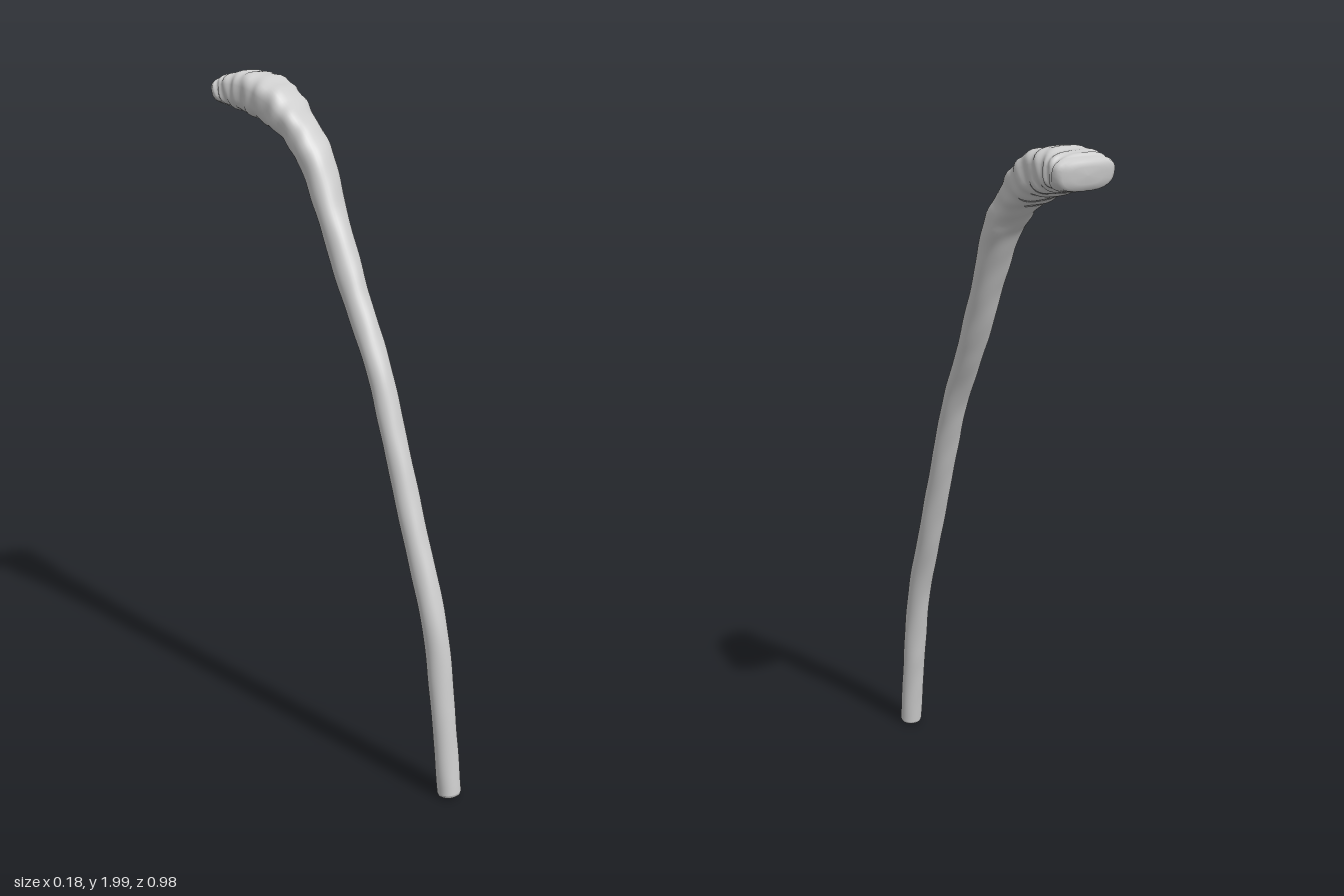
import * as THREE from 'three';

// Spine stations: [x, y, z, half width, half thickness, squareness]
const STATIONS = [
  [0, 0.012, 0.457, 0.035, 0.033, 0.1],
  [0, 0.25, 0.427, 0.037, 0.033, 0],
  [0, 0.5, 0.386, 0.037, 0.035, 0],
  [0, 0.75, 0.303, 0.038, 0.034, 0],
  [0, 1.0, 0.22, 0.038, 0.033, 0],
  [0, 1.2, 0.15, 0.039, 0.033, 0],
  [0, 1.4, 0.05, 0.041, 0.038, 0],
  [0.002, 1.6, -0.042, 0.046, 0.038, 0.1],
  [0.004, 1.76, -0.118, 0.055, 0.043, 0.3],
  [0, 1.85, -0.2, 0.061, 0.046, 0.45],
  [0.001, 1.908, -0.29, 0.077, 0.059, 0.5],
  [0, 1.933, -0.37, 0.082, 0.059, 0.5],
  [-0.003, 1.938, -0.425, 0.086, 0.049, 0.5],
  [-0.002, 1.934, -0.462, 0.088, 0.043, 0.5],
];
const SIDES = 32, RINGS = 150;

function createStaff() {
  const spine = new THREE.CatmullRomCurve3(STATIONS.map(s => new THREE.Vector3(s[0], s[1], s[2])));
  const sizes = new THREE.CatmullRomCurve3(STATIONS.map(s => new THREE.Vector3(s[3], s[4], s[5])));
  const positions = [], index = [];
  let rows = 0;

  // One cross-section, rounded at the shaft and squarer at the head
  function ring(t, scale, push) {
    const c = spine.getPoint(t), size = sizes.getPoint(t), tan = spine.getTangent(t);
    const across = new THREE.Vector3(1, 0, 0);
    const depth = new THREE.Vector3().crossVectors(tan, across).normalize();
    c.addScaledVector(tan, push);
    const power = 1 - 0.6 * Math.max(0, size.z);
    const rough = 0.02 + 0.035 * THREE.MathUtils.smoothstep(t, 0.55, 0.75);
    for (let j = 0; j < SIDES; j++) {
      const a = j / SIDES * Math.PI * 2, cx = Math.cos(a), sy = Math.sin(a);
      // Gentle carved-wood unevenness
      const bump = 1 + rough * (Math.sin(t * 83 + 2 * a) * 0.6 + Math.sin(t * 137 - 3 * a + 1) * 0.5);
      const u = Math.sign(cx) * Math.abs(cx) ** power * size.x * scale * bump;
      const v = Math.sign(sy) * Math.abs(sy) ** power * size.y * scale * bump;
      const p = c.clone().addScaledVector(across, u).addScaledVector(depth, v);
      positions.push(p.x, Math.max(0, p.y), p.z);
    }
    rows++;
  }

  // Rounded foot, shaft, rounded head end
  const cap = [[0, 1], [0.5, 0.97], [0.8, 0.85], [0.93, 0.6], [1, 0]];
  for (const [s, k] of cap) ring(0, s, -0.012 * k);
  for (let i = 0; i <= RINGS; i++) ring(i / RINGS, 1, 0);
  for (const [s, k] of [...cap].reverse().slice(1)) ring(1, s, 0.025 * k);

  for (let i = 0; i < rows - 1; i++) {
    for (let j = 0; j < SIDES; j++) {
      const k = (j + 1) % SIDES;
      const a = i * SIDES + j, b = i * SIDES + k;
      index.push(a, b, b + SIDES, a, b + SIDES, a + SIDES);
    }
  }
  const geometry = new THREE.BufferGeometry();
  geometry.setAttribute('position', new THREE.Float32BufferAttribute(positions, 3));
  geometry.setIndex(index);
  geometry.computeVertexNormals();
  const mesh = new THREE.Mesh(geometry, new THREE.MeshStandardMaterial({ color: 0xcccccc }));
  mesh.name = 'curvedStick';
  return mesh;
}

export function createModel() {
  const group = new THREE.Group();
  group.name = 'woodenStick';
  group.add(createStaff());
  return group;
}
